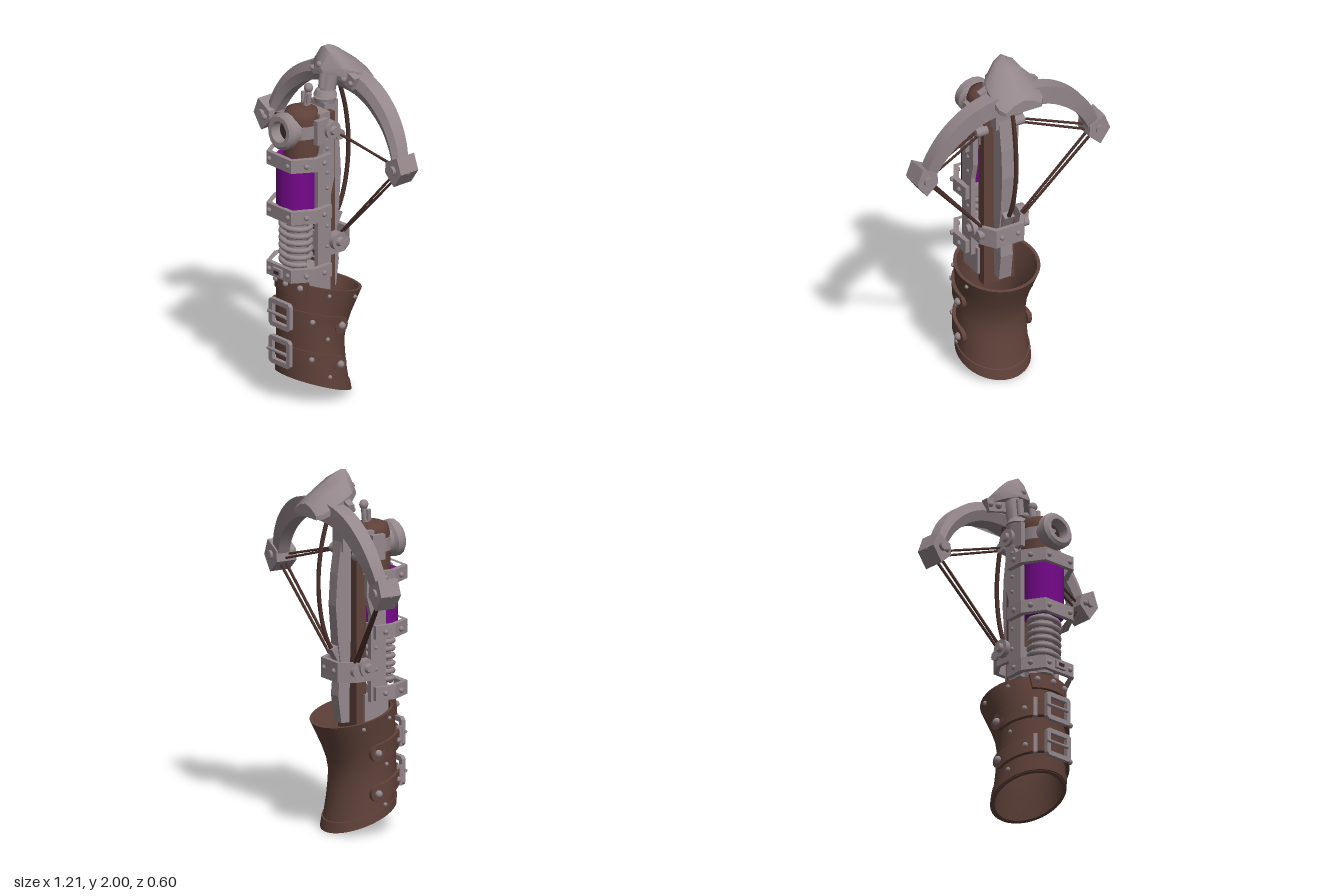
import * as THREE from 'three';
import { toCreasedNormals } from 'three/addons/utils/BufferGeometryUtils.js';

const mat = (name, color) => Object.assign(new THREE.MeshStandardMaterial({ color }), { name });
const metal = mat('steel', 0x94878b);
const leather = mat('leather', 0x60423a);
const cord = mat('cord', 0x4c302b);
const purple = mat('purple glass', 0x74088a);
const dark = mat('dark recess', 0x3a2c2a);

// Solid from a list of cross-section loops (each point [x, y, z]); winding fixed by volume.
function loft(rings, capped = true, crease = 0.6) {
  const n = rings[0].length, p = rings.flat(), idx = [];
  for (let i = 0; i < rings.length - 1; i++) for (let j = 0; j < n; j++) {
    const a = i * n + j, d = i * n + (j + 1) % n, b = a + n, c = d + n;
    idx.push(a, b, d, b, c, d);
  }
  if (capped) for (let j = 1, e = (rings.length - 1) * n; j < n - 1; j++) idx.push(0, j, j + 1, e, e + j + 1, e + j);
  const v = p.map(q => new THREE.Vector3(...q)), t = new THREE.Vector3();
  let vol = 0;
  for (let i = 0; i < idx.length; i += 3) vol += v[idx[i]].dot(t.crossVectors(v[idx[i + 1]], v[idx[i + 2]]));
  if (vol < 0) idx.reverse();
  const g = new THREE.BufferGeometry();
  g.setAttribute('position', new THREE.Float32BufferAttribute(p.flat(), 3));
  g.setIndex(idx);
  return toCreasedNormals(g, crease);
}

const shapeOf = pts => new THREE.Shape(pts.map(p => new THREE.Vector2(p[0], p[1])));
const extrude = (shape, depth) => new THREE.ExtrudeGeometry(shape, { depth, bevelEnabled: false });
// Profile of [z, y] points given a width along x
const sideProfile = (pts, w) => extrude(shapeOf(pts), w).translate(0, 0, -w / 2).rotateY(-Math.PI / 2);
// Flat ring lying in the xz plane from half outlines of [x, z] points
function flatRing(outer, inner, h) {
  const full = a => [...a.map(([x, z]) => [x, -z]), ...a.map(([x, z]) => [-x, -z]).reverse()];
  const s = shapeOf(full(outer));
  s.holes.push(shapeOf(full(inner)));
  return extrude(s, h).rotateX(-Math.PI / 2);
}

// Cuff levels: [centre y, centre z, z radius, x radius, slope of y over z]
const CUFF = [[.075, .03, .2, .2, .375], [.2, .045, .188, .195, .33], [.35, .055, .178, .19, .28],
  [.45, .045, .187, .197, .27], [.52, .028, .2, .21, .26], [.65, -.012, .222, .24, .25]];
function cuffPoint(y, a, off) {
  let i = 0;
  while (i < CUFF.length - 2 && y > CUFF[i + 1][0]) i++;
  const f = (y - CUFF[i][0]) / (CUFF[i + 1][0] - CUFF[i][0]);
  const [yc, cz, rz, rx, s] = CUFF[i].map((k, n) => k + (CUFF[i + 1][n] - k) * f);
  const dz = (rz + off) * Math.cos(a);
  return [(rx + off) * Math.sin(a), yc + s * dz, cz + dz];
}
// Curved slab following the cuff between two heights and two angles (0 = front)
function cuffShell(y0, y1, a0, a1, inOff, outOff, full = false) {
  const rings = [], rows = 8, steps = full ? 40 : 20;
  for (let i = 0; i <= steps; i++) {
    const a = a0 + (a1 - a0) * i / steps, ring = [];
    for (let r = 0; r <= rows; r++) ring.push(cuffPoint(y0 + (y1 - y0) * r / rows, a, outOff));
    for (let r = rows; r >= 0; r--) ring.push(cuffPoint(y0 + (y1 - y0) * r / rows, a, inOff));
    rings.push(ring);
  }
  return loft(rings, !full, 0.7);
}

export function createModel() {
  const root = new THREE.Group();
  const add = (name, geo, m, x = 0, y = 0, z = 0) => {
    const o = new THREE.Mesh(geo, m);
    o.name = name;
    o.position.set(x, y, z);
    root.add(o);
    return o;
  };
  const rivet = (x, y, z, r = .015) => add('rivet', new THREE.SphereGeometry(r, 8, 6), metal, x, y, z);
  const rod = (name, a, b, r, m, r2 = r, sides = 10) => {
    const A = new THREE.Vector3(...a), B = new THREE.Vector3(...b);
    const o = add(name, new THREE.CylinderGeometry(r2, r, A.distanceTo(B), sides), m);
    o.position.copy(A).add(B).multiplyScalar(.5);
    o.quaternion.setFromUnitVectors(new THREE.Vector3(0, 1, 0), B.sub(A).normalize());
    return o;
  };

  // Leather cuff with rims, straps and buckles
  const P = Math.PI;
  add('cuff', cuffShell(.075, .65, 0, 2 * P, -.018, 0, true), leather);
  add('lowerRim', cuffShell(.078, .13, 0, 2 * P, -.005, .007, true), leather);
  add('frontTab', cuffShell(.58, .665, -.55, .55, -.01, .014), leather);
  for (const a of [-.4, 0, .4]) rivet(...cuffPoint(.628, a, .016), .018);
  for (const y of [.46, .235]) {
    add('strap', cuffShell(y - .045, y + .045, -1.7, 1.7, -.005, .02), leather);
    for (const s of [-1, 1]) {
      const [x, py, z] = cuffPoint(y, s * 1.68, .01);
      rod('strapEnd', [x - s * .012, py, z], [x + s * .012, py, z], .045, leather, .045, 16);
      rivet(x + s * .015, py, z, .022);
      rivet(...cuffPoint(y, s * .85, .022), .016);
      rivet(...cuffPoint(y - .09, s * 1.35, .002), .012);
    }
    const [, by, bz] = cuffPoint(y, 0, .02);
    const frame = shapeOf([[-.07, -.08], [.07, -.08], [.085, -.065], [.085, .065], [.07, .08], [-.07, .08], [-.085, .065], [-.085, -.065]]);
    frame.holes.push(shapeOf([[-.058, -.053], [.058, -.053], [.058, .053], [-.058, .053]]));
    add('buckle', extrude(frame, .024), metal, 0, by, bz);
    rod('bucklePin', [-.09, by, bz + .024], [.06, by, bz + .026], .01, metal);
    add('strapLoop', new THREE.BoxGeometry(.022, .11, .03), metal, -.12, by - .01, bz - .035).rotation.y = -.6;
  }
  for (const s of [-1, 1]) for (const a of [1.1, 1.9]) rivet(...cuffPoint(.615, s * a, .003), .012);

  // Stock, base block and side rails
  add('stock', new THREE.BoxGeometry(.19, 1.1, .06), leather, 0, 1.1, -.01);
  add('baseBlock', new THREE.BoxGeometry(.22, .16, .15), metal, 0, .68, .08);
  for (const s of [-1, 1]) {
    add('rail', sideProfile([[.12, .72], [.12, 1.38], [.06, 1.52], [0, 1.55], [0, 1.3], [.025, 1.2], [.025, .72]], .03), metal, s * .125);
    for (const y of [.9, 1.02, 1.24, 1.33, 1.47]) rivet(s * .14, y, .055, .011);
  }

  // Clamp bands
  for (const y of [.73, 1.07, 1.37]) {
    add('clampBand', flatRing([[.165, .04], [.172, .16], [.1, .28]], [[.14, .06], [.14, .15], [.085, .255]], .075), metal, 0, y);
    for (const s of [-1, 1]) {
      rivet(s * .075, y + .037, .28);
      rivet(s * .148, y + .037, .21);
      rivet(s * .168, y + .037, .1);
    }
  }
  add('bandLatch', new THREE.BoxGeometry(.07, .045, .02), metal, 0, .768, .285);
  add('latchSlot', new THREE.BoxGeometry(.035, .018, .006), dark, 0, .768, .296);

  // Glass chamber and spring
  add('glassChamber', new THREE.CylinderGeometry(.112, .112, .32, 32), purple, 0, 1.26, .15);
  add('springCore', new THREE.CylinderGeometry(.055, .055, .4, 16), metal, 0, .95, .15);
  const helix = [];
  for (let i = 0; i <= 84; i++) {
    const a = i / 12 * 2 * P;
    helix.push(new THREE.Vector3(Math.cos(a) * .08, .8 + i / 84 * .29, .155 + Math.sin(a) * .08));
  }
  add('spring', new THREE.TubeGeometry(new THREE.CatmullRomCurve3(helix), 168, .015, 8), metal);

  // Firing head with round muzzle
  const V = (x, y) => new THREE.Vector2(x, y);
  add('headBarrel', new THREE.LatheGeometry([V(.1, 1.4), V(.1, 1.63), V(.085, 1.675), V(.05, 1.69), V(0, 1.69)], 24), leather, 0, 0, .115);
  add('headBand', new THREE.CylinderGeometry(.108, .108, .07, 24), metal, 0, 1.57, .115);
  add('headBacking', new THREE.BoxGeometry(.2, .24, .07), metal, 0, 1.54, .035);
  const muzzle = add('muzzle', new THREE.LatheGeometry([V(.08, -.07), V(.085, 0), V(.102, .015), V(.102, .055), V(.085, .07), V(.06, .07), V(.055, 0), V(0, 0)], 16), metal, 0, 1.575, .21);
  muzzle.geometry = toCreasedNormals(muzzle.geometry, .5);
  muzzle.rotation.x = P / 2 - .12;
  const bore = add('muzzleBore', new THREE.CylinderGeometry(.055, .055, .006, 20), dark, 0, 1.578, .218);
  bore.rotation.x = P / 2 - .12;
  rod('valveStem', [0, 1.67, .08], [0, 1.77, .065], .022, metal, .016);
  for (const s of [-1, 1]) {
    rod('valvePin', [s * .02, 1.7, .085], [s * .025, 1.76, .08], .013, metal);
    add('headLug', new THREE.BoxGeometry(.03, .14, .08), metal, s * .12, 1.57, .08);
  }
  add('valveCap', new THREE.SphereGeometry(.026, 10, 8), metal, 0, 1.785, .065);

  // Neck under the hood
  add('neckCollar', new THREE.CylinderGeometry(.065, .06, .03, 12), metal, 0, 1.69, -.055);
  add('neckCollar', new THREE.CylinderGeometry(.05, .065, .03, 12), metal, 0, 1.73, -.055);
  add('neckBlock', new THREE.BoxGeometry(.11, .14, .1), metal, 0, 1.62, -.05);
  rod('neckPost', [0, 1.65, -.05], [0, 1.88, -.1], .042, metal, .05, 8);
  rod('neckPin', [0, 1.76, -.03], [0, 1.86, -.04], .02, metal);
  add('limbBracket', extrude(shapeOf([[-.18, 1.84], [-.16, 1.77], [-.05, 1.8], [.05, 1.8], [.16, 1.77], [.18, 1.84], [0, 1.92]]), .04), metal, 0, 0, -.145);
  for (const s of [-1, 1]) { rivet(s * .1, 1.82, -.1, .02); rivet(s * .155, 1.81, -.1, .016); }

  // Peaked hood: [z, half width, crest y, edge y]
  add('hood', loft([[-.005, .035, 1.895, 1.86], [-.05, .085, 1.995, 1.85], [-.08, .115, 2, 1.84], [-.13, .138, 1.975, 1.825],
    [-.21, .142, 1.915, 1.795], [-.275, .135, 1.865, 1.77], [-.305, .11, 1.835, 1.765]].map(([z, w, t, e]) => {
    const q = f => e + (t - e) * f;
    return [[w, e, z], [w, q(.3), z], [.5 * w, q(.8), z], [0, t, z], [-.5 * w, q(.8), z], [-w, q(.3), z], [-w, e, z], [0, q(.25), z]];
  })), metal);
  rivet(0, 1.9, -.012, .018);

  // Bow limbs: one lofted arc; outer and inner edges in the xy plane
  const mirrored = pts => new THREE.CatmullRomCurve3([...pts.slice(1).reverse().map(([x, y]) => [-x, y]), ...pts].map(([x, y]) => new THREE.Vector3(x, y, 0)));
  const outer = mirrored([[0, 1.85], [.18, 1.83], [.3, 1.78], [.42, 1.68], [.5, 1.56], [.545, 1.44]]);
  const inner = mirrored([[0, 1.74], [.14, 1.73], [.25, 1.69], [.37, 1.6], [.44, 1.51], [.49, 1.41]]);
  const limb = [];
  for (let i = 0; i <= 32; i++) {
    const o = outer.getPoint(i / 32), n = inner.getPoint(i / 32), k = Math.abs(i / 16 - 1);
    const zf = -.125 + .035 * k * k, zb = -.235 + .06 * k * k;
    limb.push([[o.x, o.y, zb], [o.x, o.y, zf - .02], [(o.x + n.x) / 2, (o.y + n.y) / 2, zf], [n.x, n.y, zf - .02], [n.x, n.y, zb]]);
  }
  add('bowLimbs', loft(limb, true, .45), metal);

  // Limb tips, strings and the pulleys they run to
  for (const s of [-1, 1]) {
    const tip = [[.6, 1.42], [.565, 1.51], [.475, 1.46], [.47, 1.4], [.54, 1.335]].map(([x, y]) => [s * x, y]);
    add('limbTip', extrude(shapeOf(tip), .125), metal, 0, 0, -.195);
    rod('tipBolt', [s * .535, 1.43, -.21], [s * .535, 1.43, -.05], .026, metal);
    rivet(s * .505, 1.42, -.065, .016);
    rivet(s * .585, 1.42, -.13, .018);
    for (const d of [0, .022]) {
      rod('upperString', [s * .5, 1.43 - d, -.12 - d], [s * .13, 1.535 - d / 2, -.03 - d], .007, cord, .007, 6);
      rod('lowerString', [s * .51, 1.41 - d, -.13 - d], [s * .13, .95, -.05 - d], .008, cord, .008, 6);
    }
    rod('upperPulley', [s * .09, 1.57, .02], [s * .155, 1.57, .02], .05, metal, .05, 14);
    rod('upperPulleyCap', [s * .15, 1.57, .02], [s * .17, 1.57, .02], .03, metal, .02);
    rod('upperPeg', [s * .08, 1.53, -.035], [s * .15, 1.53, -.035], .03, metal);
    rod('lowerPulley', [s * .12, .92, -.01], [s * .17, .92, -.01], .05, metal, .05, 14);
    rod('lowerPulleyCap', [s * .165, .92, -.01], [s * .19, .92, -.01], .03, metal, .02);
    rod('lowerPeg', [s * .11, .9, -.07], [s * .155, .9, -.07], .028, metal);
  }

  // Rear lever, its bracket and the drawn rear cord
  add('rearLever', sideProfile([[-.04, 1.62], [-.1, 1.6], [-.125, 1.42], [-.135, 1.25], [-.12, 1.05], [-.105, .93], [-.12, .75],
    [-.1, .6], [-.05, .6], [-.045, .93], [-.035, 1.2]], .075), metal);
  add('leverBracket', flatRing([[.14, .045], [.14, -.07], [.085, -.155]], [[.12, .03], [.12, -.06], [.07, -.13]], .11), metal, 0, .84);
  add('bracketHook', new THREE.BoxGeometry(.06, .09, .04), metal, 0, .98, -.115).rotation.x = -.5;
  rivet(.05, .9, -.155);
  rivet(-.05, .9, -.155);
  add('rearCord', new THREE.TubeGeometry(new THREE.CatmullRomCurve3([[1.78, -.15], [1.6, -.2], [1.4, -.222], [1.2, -.205], [1.06, -.165], [.96, -.11]]
    .map(([y, z]) => new THREE.Vector3(0, y, z))), 32, .012, 8), cord);

  return root;
}
